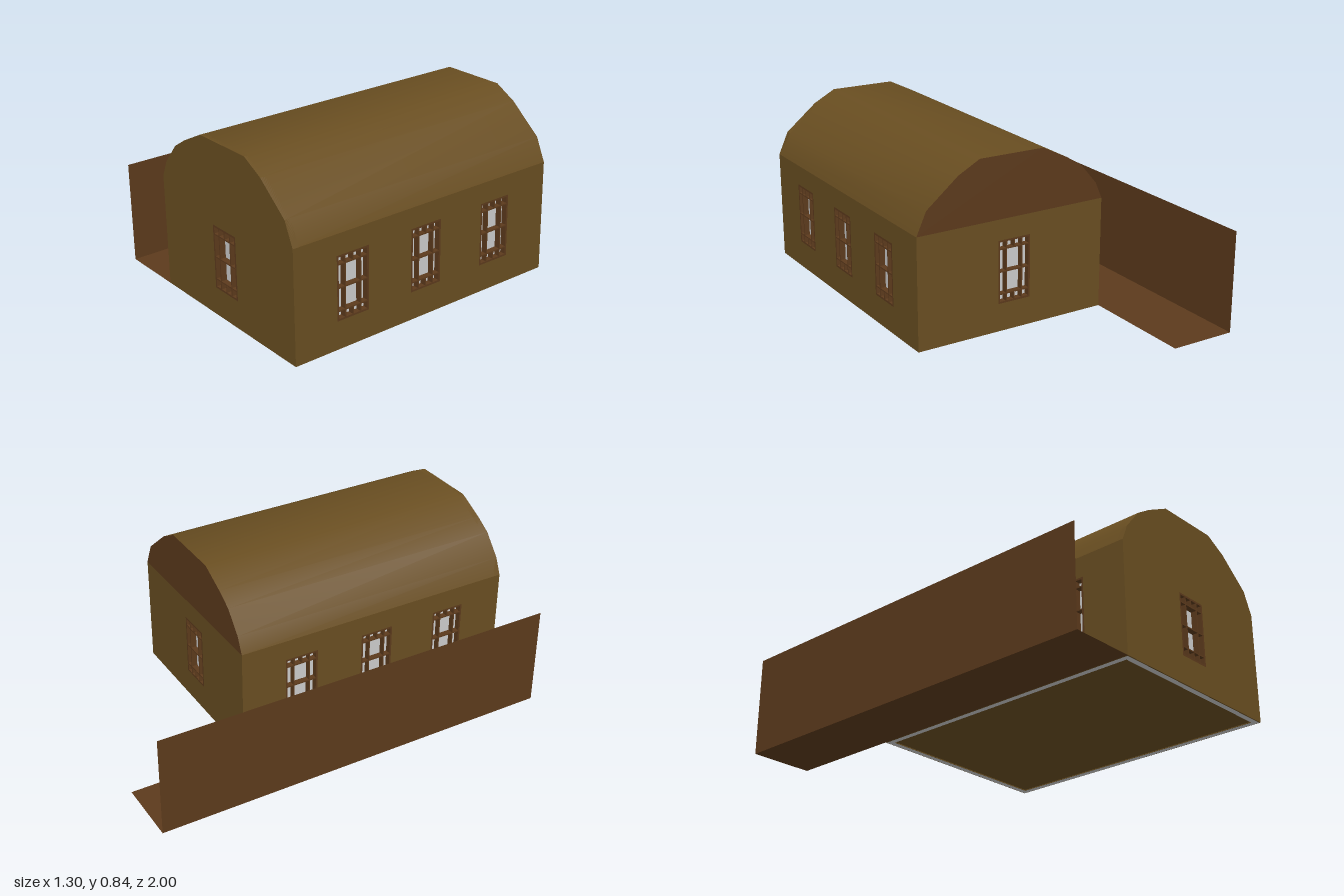
import * as THREE from 'three';
import { toCreasedNormals } from 'three/addons/utils/BufferGeometryUtils.js';

const mat = (color) => new THREE.MeshStandardMaterial({ color, side: THREE.DoubleSide });
const ochre = mat(0x694e21), brown = mat(0x5c3a1c), grey = mat(0xcccccc);

const X0 = -0.33, X1 = 0.65, Z0 = -0.43, Z1 = 1, EAVE = 0.54, T = 0.03;
const WIN = { w: 0.17, y0: 0.135, y1: 0.44 };
const SIDE_WINDOWS = [0.695, 0.29, -0.12];

// Barrel roof outline from the left eave to the right eave
const ARCH = [[X0, EAVE], [-0.295, 0.62], [-0.21, 0.72], [-0.13, 0.77], [0, 0.835],
  [0.33, 0.838], [0.44, 0.78], [0.6, 0.65], [X1, EAVE]];

function mesh(name, geometry, material, x = 0, y = 0, z = 0) {
  const m = new THREE.Mesh(geometry, material);
  m.name = name;
  m.position.set(x, y, z);
  return m;
}

const polygon = (points) => new THREE.Shape(points.map(([x, y]) => new THREE.Vector2(x, y)));
const rect = (x0, y0, x1, y1) => [[x0, y0], [x1, y0], [x1, y1], [x0, y1]];

// Barred window, its outer face on z = 0
function makeWindow(x) {
  const g = new THREE.Group();
  g.name = 'window';
  const { w, y0, y1 } = WIN, h = y1 - y0, yc = (y0 + y1) / 2, b = 0.006, f = 0.009;
  const bar = (name, bw, bh, bx, by) =>
    g.add(mesh(name, new THREE.BoxGeometry(bw, bh, T), brown, x + bx, by, -T / 2));
  for (const s of [-1, 1]) {
    bar('frameSide', f, h, s * (w - f) / 2, yc);
    bar('frameRail', w, f, 0, yc + s * (h - f) / 2);
    bar('longBar', b, h, s * 0.041, yc);
    bar('shortBar', b, 0.04, 0, yc + s * (h / 2 - 0.02));
  }
  for (const y of [0.18, 0.288, 0.397]) bar('crossBar', w, b, 0, y);
  g.add(mesh('pane', new THREE.PlaneGeometry(w, h), grey, x, yc, -T + 0.002));
  return g;
}

// Wall with window openings, thickened inward from its outer face
function makeWall(name, outline, windows) {
  const g = new THREE.Group();
  g.name = name;
  const shape = polygon(outline);
  for (const x of windows) {
    shape.holes.push(polygon(rect(x - WIN.w / 2, WIN.y0, x + WIN.w / 2, WIN.y1)));
    g.add(makeWindow(x));
  }
  const geo = new THREE.ExtrudeGeometry(shape, { depth: T, bevelEnabled: false });
  g.add(mesh(name + 'Panel', geo, ochre, 0, 0, -T));
  return g;
}

// Open vault swept along z, smooth across the shallow bends
function makeRoof() {
  const pos = [];
  for (let i = 0; i < ARCH.length - 1; i++) {
    const [ax, ay] = ARCH[i], [bx, by] = ARCH[i + 1];
    pos.push(ax, ay, Z0, ax, ay, Z1, bx, by, Z1, ax, ay, Z0, bx, by, Z1, bx, by, Z0);
  }
  const geo = new THREE.BufferGeometry();
  geo.setAttribute('position', new THREE.Float32BufferAttribute(pos, 3));
  return mesh('roof', toCreasedNormals(geo, 0.6), ochre);
}

export function createModel() {
  const model = new THREE.Group();
  model.name = 'vaultedHall';

  // Four walls, each turned so its outer face looks outward
  const front = makeWall('frontWall', [[X0, 0], [X1, 0], ...[...ARCH].reverse()], [0.15]);
  front.position.z = Z1;
  const back = makeWall('backWall', rect(-X1, 0, -X0, EAVE), [-0.15]);
  back.rotation.y = Math.PI;
  back.position.z = Z0;
  const right = makeWall('rightWall', rect(-Z1 + T, 0, -Z0 - T, EAVE), SIDE_WINDOWS.map((z) => -z));
  right.rotation.y = Math.PI / 2;
  right.position.x = X1;
  const left = makeWall('leftWall', rect(Z0 + T, 0, Z1 - T, EAVE), SIDE_WINDOWS);
  left.rotation.y = -Math.PI / 2;
  left.position.x = X0;
  model.add(front, back, right, left, makeRoof());

  // Rear gable above the eaves
  model.add(mesh('rearGable', new THREE.ShapeGeometry(polygon([...ARCH].reverse())), brown, 0, 0, Z0));

  // Floor with the pale footing ring around its underside
  const flat = (shape) => new THREE.ShapeGeometry(shape).rotateX(Math.PI / 2);
  model.add(mesh('floor', flat(polygon(rect(X0 + T, Z0 + T, X1 - T, Z1 - T))), ochre, 0, 0.004, 0));
  const ring = polygon(rect(X0 + 0.004, Z0 + 0.004, X1 - 0.004, Z1 - 0.004));
  ring.holes.push(polygon(rect(X0 + T, Z0 + T, X1 - T, Z1 - T)));
  model.add(mesh('footing', flat(ring), grey, 0, -0.001, 0));

  // Side alley: ground strip and a free-standing boundary wall
  model.add(mesh('alleyGround', flat(polygon(rect(-X1, -1, X0, 1))), brown));
  const fence = new THREE.PlaneGeometry(2, 0.49).rotateY(Math.PI / 2);
  model.add(mesh('boundaryWall', fence, brown, -X1, 0.245, 0));

  return model;
}
